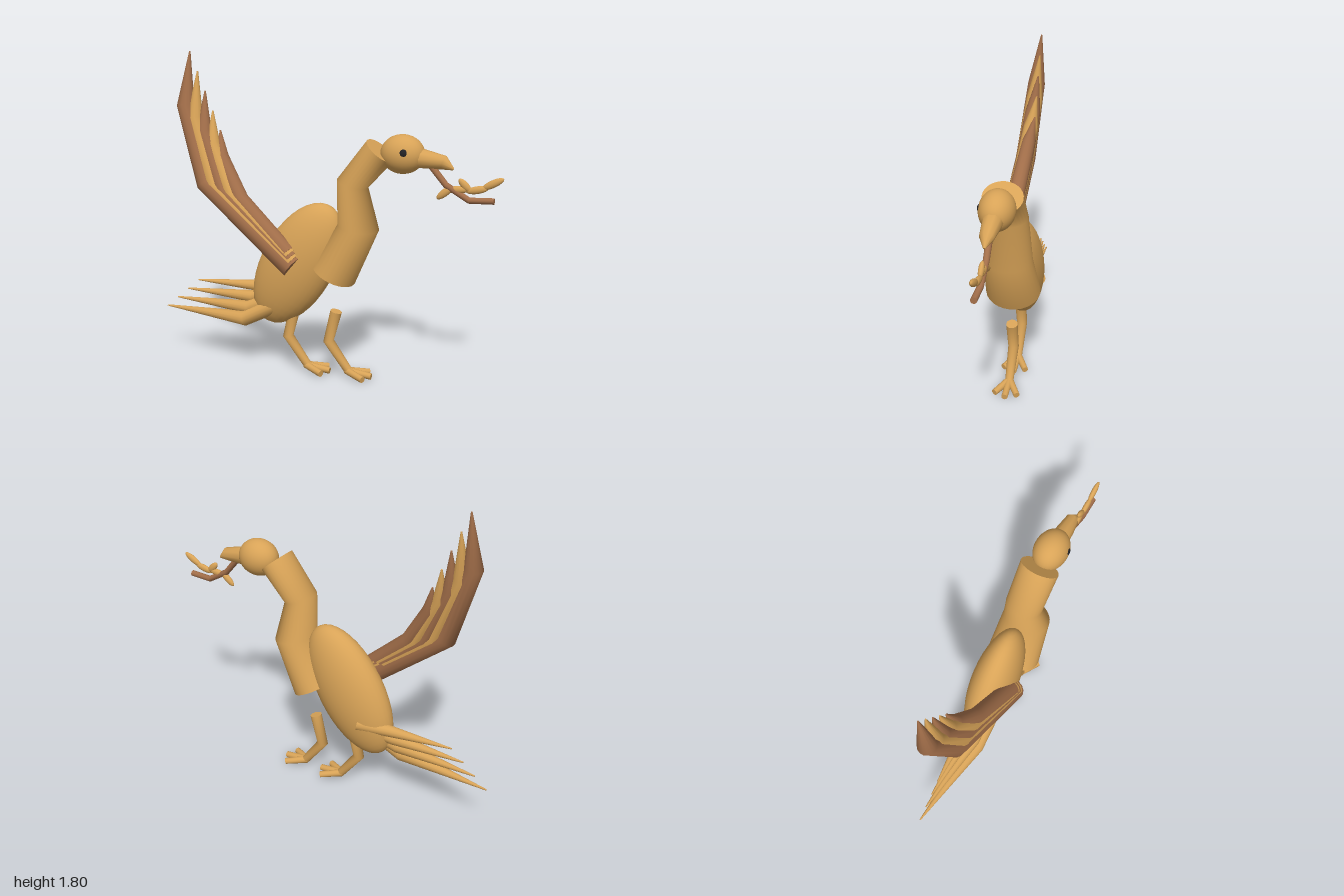
import * as THREE from 'three';

const tan = new THREE.MeshStandardMaterial({ color: 0xd8a357 });
tan.name = 'tan';
const brown = new THREE.MeshStandardMaterial({ color: 0xa36f4a });
brown.name = 'brown';
const black = new THREE.MeshStandardMaterial({ color: 0x222226 });
black.name = 'black';

const Z = -0.015; // middle plane of the bird

// Capped limb through points [x, y, z, radius]; zScale widens it sideways
function limb(points, sides = 16, zScale = 1) {
  const centres = points.map(p => new THREE.Vector3(p[0], p[1], p[2]));
  const pos = [], index = [];
  const rings = centres.map((c, i) => {
    const t = new THREE.Vector3();
    if (i > 0) t.add(c.clone().sub(centres[i - 1]).normalize());
    if (i < centres.length - 1) t.add(centres[i + 1].clone().sub(c).normalize());
    t.normalize();
    const u = new THREE.Vector3(0, 0, 1).addScaledVector(t, -t.z).normalize();
    const v = t.clone().cross(u);
    const r = points[i][3];
    return Array.from({ length: sides }, (_, k) => {
      const a = (k / sides) * Math.PI * 2;
      return c.clone().addScaledVector(u, Math.cos(a) * r * zScale).addScaledVector(v, Math.sin(a) * r);
    });
  });
  const addRing = ring => {
    const start = pos.length / 3;
    ring.forEach(p => pos.push(p.x, p.y, p.z));
    return start;
  };
  const starts = rings.map(addRing);
  for (let i = 0; i < rings.length - 1; i++) {
    for (let k = 0; k < sides; k++) {
      const n = (k + 1) % sides, a = starts[i], b = starts[i + 1];
      index.push(a + k, a + n, b + k, a + n, b + n, b + k);
    }
  }
  // Flat ends with their own vertices so the rims stay sharp
  [0, rings.length - 1].forEach((i, end) => {
    const s = addRing(rings[i]);
    for (let k = 1; k < sides - 1; k++) {
      if (end) index.push(s, s + k, s + k + 1);
      else index.push(s, s + k + 1, s + k);
    }
  });
  const g = new THREE.BufferGeometry();
  g.setAttribute('position', new THREE.Float32BufferAttribute(pos, 3));
  g.setIndex(index);
  g.computeVertexNormals();
  return g;
}

export function createModel() {
  const bird = new THREE.Group();
  bird.name = 'bird';

  const add = (name, geometry, material, parent = bird) => {
    const m = new THREE.Mesh(geometry, material);
    m.name = name;
    parent.add(m);
    return m;
  };
  const ellipsoid = (name, material, centre, radii, angle = 0, parent = bird) => {
    const m = add(name, new THREE.SphereGeometry(1, 32, 20), material, parent);
    m.position.set(...centre);
    m.scale.set(...radii);
    m.rotation.z = THREE.MathUtils.degToRad(angle);
    return m;
  };
  const group = name => {
    const g = new THREE.Group();
    g.name = name;
    bird.add(g);
    return g;
  };

  // Body, neck and head
  ellipsoid('body', tan, [-0.15, 0.635, Z], [0.21, 0.4, 0.128], -30);
  add('neck', limb([
    [0.07, 0.605, Z, 0.128], [0.21, 0.88, Z, 0.112],
    [0.175, 1.12, Z, 0.086], [0.33, 1.305, Z, 0.09],
  ], 28, 1.2), tan);
  ellipsoid('head', tan, [0.453, 1.295, Z], [0.12, 0.105, 0.094]);
  add('beak', limb([
    [0.54, 1.28, Z, 0.054], [0.675, 1.262, Z, 0.038], [0.728, 1.23, Z, 0.006],
  ], 10), tan);
  ellipsoid('eye', black, [0.477, 1.31, 0.06], [0.026, 0.026, 0.02]);

  // Raised wing of overlapping feathers, alternating in colour
  const wing = group('leftWing');
  for (let i = 0; i < 5; i++) {
    const s = 1 - 0.05 * i;
    add('wingFeather', limb([
      [-0.135 - 0.008 * i, 0.65 + 0.018 * i, 0.1, 0.066 * s],
      [-0.67 + 0.052 * i, 1.08 - 0.02 * i, 0.066, 0.06 * s],
      [-0.81 + 0.055 * i, 1.51 - 0.07 * i, 0.03, 0.05 * s],
      [-0.79 + 0.045 * i, 1.808 - 0.109 * i, 0, 0.004],
    ], 14), i % 2 ? tan : brown, wing);
  }

  // Fanned tail
  const tail = group('tail');
  for (let i = 0; i < 4; i++) {
    add('tailFeather', limb([
      [-0.25, 0.4 + 0.033 * i, 0.03 - 0.042 * i, 0.045],
      [-0.46 + 0.012 * i, 0.292 + 0.06 * i, 0.038 - 0.027 * i, 0.044 - 0.004 * i],
      [-1 + 0.072 * i, 0.292 + 0.061 * i, Z, 0.004],
    ], 14), tan, tail);
  }

  // Two striding legs, each with three toes
  for (const [name, x] of [['frontLeg', 0], ['backLeg', -0.248]]) {
    const leg = group(name);
    leg.position.set(x, 0, Z + 0.005);
    add('shin', limb([
      [0.085, 0.385, 0, 0.033], [0.04, 0.205, 0, 0.031], [0.16, 0.042, 0, 0.024],
    ]), tan, leg);
    for (const [reach, side] of [[0.295, 0], [0.265, 0.065], [0.265, -0.065]]) {
      add('toe', limb([[0.15, 0.042, 0, 0.021], [reach, 0.025, side, 0.018]], 12), tan, leg);
    }
  }

  // Twig held in the beak, with small leaves
  const twig = group('twig');
  add('stem', limb([
    [0.61, 1.24, Z, 0.018], [0.69, 1.145, Z, 0.017],
    [0.815, 1.072, Z, 0.017], [0.945, 1.077, Z, 0.017],
  ], 12), brown, twig);
  const leaves = [
    [0.685, 1.105, 40, 0.055], [0.755, 1.125, 5, 0.06], [0.79, 1.15, -45, 0.045],
    [0.855, 1.13, 12, 0.06], [0.935, 1.167, 28, 0.063],
  ];
  for (const [x, y, angle, length] of leaves) {
    ellipsoid('leaf', tan, [x, y, Z], [length, 0.02, 0.015], angle, twig);
  }

  return bird;
}
